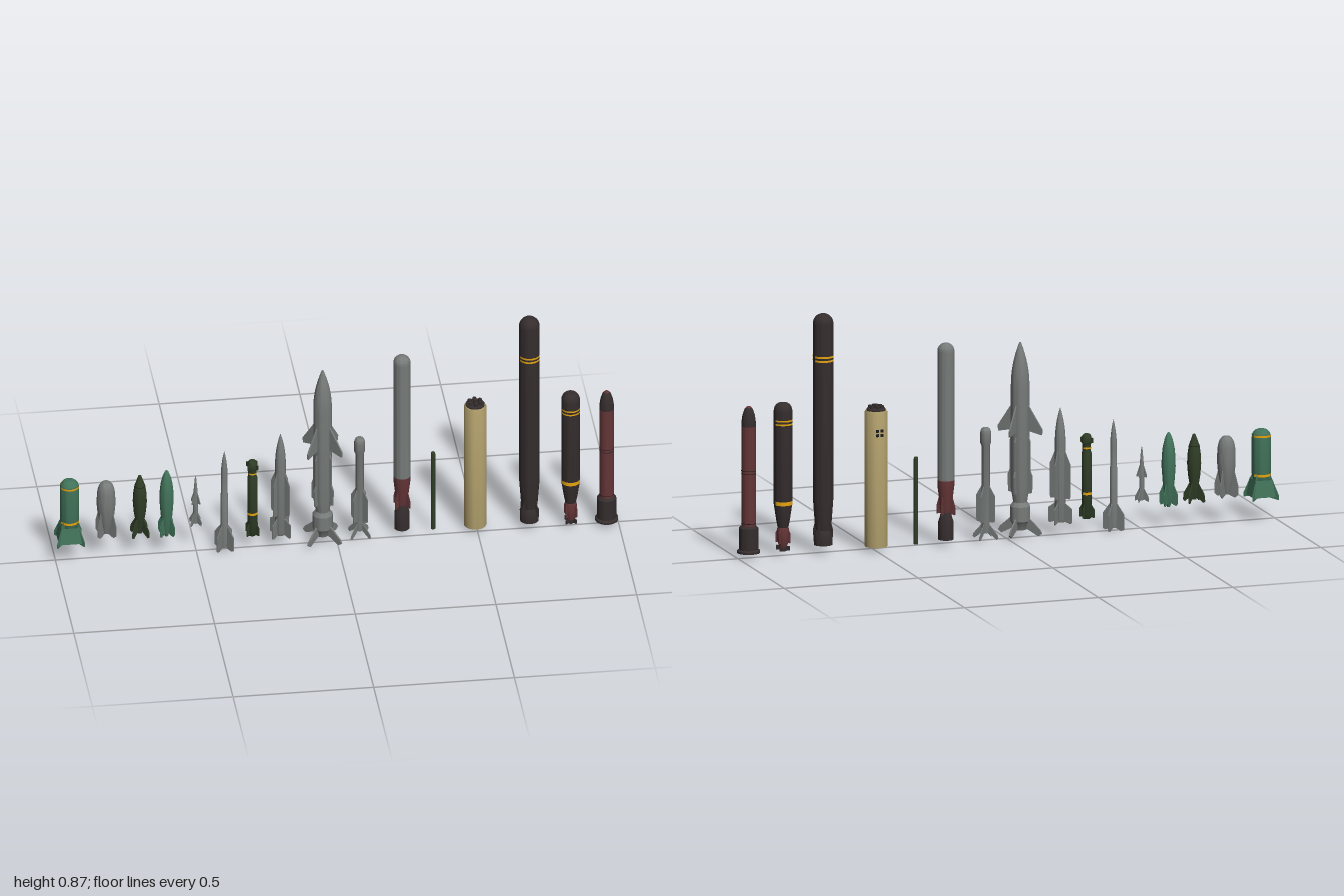
import * as THREE from 'three';
import { toCreasedNormals } from 'three/addons/utils/BufferGeometryUtils.js';

const mat = (name, color, side = THREE.FrontSide) => new THREE.MeshStandardMaterial({ name, color, side });
const M = {
  grey: mat('grey', 0x767b79), green: mat('green', 0x42735a), olive: mat('olive', 0x2f3d26),
  dark: mat('dark', 0x352d2e), red: mat('red', 0x643537), tan: mat('tan', 0xab9a68),
  yellow: mat('yellow', 0xe6a510, THREE.DoubleSide), black: mat('black', 0x1c1b1c),
};

function add(group, name, geo, material, y = 0) {
  const mesh = new THREE.Mesh(geo, material);
  mesh.name = name;
  mesh.position.y = y;
  group.add(mesh);
  return mesh;
}

// Rounded end from radius r at y0 up to the tip; power below 1 is blunt, 1 is a long ogive
function nose(r, y0, y1, tip = 0, ogive = false) {
  const pts = [];
  for (let i = 0; i <= 8; i++) {
    const t = i / 8;
    if (ogive) pts.push([tip + (r - tip) * (1 - t * t), y0 + (y1 - y0) * t]);
    else {
      const a = t * Math.PI / 2;
      pts.push([tip + (r - tip) * Math.cos(a), y0 + (y1 - y0) * Math.sin(a)]);
    }
  }
  if (tip) pts.push([0, y1]);
  return pts;
}

// Turned body; points are [radius, y] from bottom to top
function lathe(group, name, pts, material) {
  const v = pts.map(([r, y]) => new THREE.Vector2(Math.max(r, 0), y));
  return add(group, name, toCreasedNormals(new THREE.LatheGeometry(v, 28), 0.6), material);
}

// Four thin fins set in an X; outline points are [radius, y]
function fins(group, name, outline, material, t = 0.004) {
  const shape = new THREE.Shape(outline.map(([r, y]) => new THREE.Vector2(r, y)));
  const geo = new THREE.ExtrudeGeometry(shape, { depth: t, bevelEnabled: false }).translate(0, 0, -t / 2);
  for (let i = 0; i < 4; i++) add(group, name, geo, material).rotation.y = Math.PI / 4 + i * Math.PI / 2;
}

// Painted arcs on the front and the back of a body
function band(group, r, y, h, arc = 2.4) {
  for (const a of [0, Math.PI]) {
    const geo = new THREE.CylinderGeometry(r + 0.0008, r + 0.0008, h, 20, 1, true, a - arc / 2, arc);
    add(group, 'paintedBand', geo, M.yellow, y);
  }
}

function seam(group, r, y) {
  add(group, 'seam', new THREE.CylinderGeometry(r + 0.0005, r + 0.0005, 0.002, 28, 1, true), M.black, y);
}

export function createModel() {
  const root = new THREE.Group();
  root.name = 'ordnanceRow';
  const item = (name, x, z, build) => {
    const g = new THREE.Group();
    g.name = name;
    g.position.set(x, 0, z);
    build(g);
    root.add(g);
  };

  item('boxTailBomb', -0.95, 0, g => {
    lathe(g, 'body', [[0, 0.09], [0.014, 0.09], [0.032, 0.155], [0.034, 0.165], ...nose(0.034, 0.295, 0.325, 0.012)], M.green);
    fins(g, 'tailFin', [[0.01, 0.085], [0.068, 0.075], [0.068, 0.092], [0.034, 0.165], [0.02, 0.165]], M.green);
    const shroud = new THREE.CylinderGeometry(0.046, 0.06, 0.06, 4, 1, true).rotateY(Math.PI / 4).toNonIndexed();
    shroud.computeVertexNormals();
    add(g, 'tailShroud', shroud, new THREE.MeshStandardMaterial().copy(M.green), 0.115).material = greenOpen;
    band(g, 0.034, 0.162, 0.009);
    band(g, 0.034, 0.303, 0.007);
  });

  item('stubbyBomb', -0.82, 0, g => {
    lathe(g, 'body', [[0, 0.1], [0.012, 0.1], [0.022, 0.14], [0.03, 0.18], [0.033, 0.215], [0.033, 0.24], ...nose(0.032, 0.255, 0.31, 0.006)], M.grey);
    fins(g, 'tailFin', [[0.008, 0.1], [0.034, 0.09], [0.046, 0.1], [0.046, 0.135], [0.03, 0.19], [0.02, 0.19]], M.grey);
  });

  item('slimBomb', -0.7, 0, g => {
    lathe(g, 'body', [[0, 0.09], [0.008, 0.09], [0.014, 0.13], [0.022, 0.18], [0.025, 0.22], [0.024, 0.25], [0.019, 0.285], [0.01, 0.31], [0.005, 0.325], [0, 0.327]], M.olive);
    fins(g, 'tailFin', [[0.005, 0.105], [0.036, 0.08], [0.043, 0.085], [0.04, 0.11], [0.014, 0.155]], M.olive);
    seam(g, 0.0195, 0.284);
  });

  item('greenBomb', -0.605, 0, g => {
    lathe(g, 'body', [[0, 0.07], [0.006, 0.07], [0.014, 0.105], [0.021, 0.16], [0.025, 0.215], [0.0245, 0.25], [0.021, 0.285], [0.014, 0.315], [0.006, 0.335], [0, 0.34]], M.green);
    fins(g, 'tailFin', [[0.006, 0.085], [0.03, 0.075], [0.036, 0.085], [0.036, 0.115], [0.016, 0.16]], M.green);
  });

  item('smallDart', -0.5, -0.015, g => {
    lathe(g, 'body', [[0, 0.105], [0.007, 0.105], [0.009, 0.17], [0.009, 0.21], [0.006, 0.25], [0.003, 0.285], [0, 0.302]], M.grey);
    fins(g, 'midFin', [[0.005, 0.19], [0.02, 0.188], [0.02, 0.195], [0.006, 0.235]], M.grey, 0.003);
    fins(g, 'tailFin', [[0.005, 0.11], [0.026, 0.1], [0.027, 0.115], [0.008, 0.15]], M.grey, 0.003);
  });

  item('finnedRocket', -0.4, 0, g => {
    lathe(g, 'body', [[0, 0.01], [0.012, 0.01], [0.0135, 0.03], [0.0135, 0.225], [0.012, 0.23], ...nose(0.012, 0.3, 0.402, 0, true)], M.grey);
    fins(g, 'tailFin', [[0.008, 0.01], [0.03, 0], [0.041, 0.004], [0.041, 0.06], [0.012, 0.1]], M.grey);
  });

  item('guidedRocket', -0.3, 0, g => {
    lathe(g, 'body', [[0, 0.05], [0.013, 0.05], [0.018, 0.06], [0.018, 0.285], [0.015, 0.295], [0.015, 0.32], [0.018, 0.325], ...nose(0.018, 0.335, 0.356, 0.008)], M.olive);
    fins(g, 'canard', [[0.01, 0.32], [0.026, 0.325], [0.026, 0.342], [0.01, 0.345]], M.olive);
    fins(g, 'tailFin', [[0.01, 0.055], [0.03, 0.055], [0.03, 0.085], [0.015, 0.105]], M.olive);
    band(g, 0.018, 0.142, 0.009);
    band(g, 0.015, 0.306, 0.006);
  });

  item('strakeMissile', -0.2, 0, g => {
    lathe(g, 'body', [[0, 0.045], [0.016, 0.045], [0.019, 0.055], [0.019, 0.33], ...nose(0.019, 0.335, 0.46, 0, true)], M.grey);
    fins(g, 'strake', [[0.012, 0.13], [0.038, 0.13], [0.04, 0.14], [0.04, 0.255], [0.018, 0.305]], M.grey);
    fins(g, 'tailFin', [[0.012, 0.05], [0.04, 0.04], [0.046, 0.045], [0.046, 0.095], [0.018, 0.115]], M.grey);
  });

  item('boostedMissile', -0.05, -0.003, g => {
    lathe(g, 'body', [[0.024, 0.12], [0.026, 0.14], [0.033, 0.18], [0.033, 0.54], ...nose(0.033, 0.55, 0.705, 0.003, true)], M.grey);
    lathe(g, 'booster', [[0, 0.03], [0.022, 0.03], [0.03, 0.055], [0.036, 0.062], [0.036, 0.115], [0.025, 0.13]], M.grey);
    fins(g, 'wing', [[0.025, 0.39], [0.085, 0.378], [0.087, 0.398], [0.033, 0.48], [0.025, 0.48]], M.grey, 0.006);
    fins(g, 'strake', [[0.025, 0.16], [0.046, 0.165], [0.048, 0.225], [0.04, 0.245], [0.04, 0.35], [0.025, 0.385]], M.grey, 0.006);
    fins(g, 'boosterFin', [[0.02, 0.038], [0.072, 0.012], [0.086, 0.022], [0.078, 0.036], [0.033, 0.075]], M.grey, 0.006);
  });

  item('slimMissile', 0.083, -0.016, g => {
    lathe(g, 'body', [[0, 0.03], [0.012, 0.03], [0.015, 0.07], [0.015, 0.345], [0.019, 0.355], [0.019, 0.385], ...nose(0.019, 0.39, 0.41, 0.008)], M.grey);
    fins(g, 'strake', [[0.01, 0.07], [0.034, 0.07], [0.036, 0.08], [0.036, 0.165], [0.015, 0.2]], M.grey);
    fins(g, 'tailFin', [[0.008, 0.035], [0.044, 0.008], [0.05, 0.014], [0.047, 0.025], [0.014, 0.062]], M.grey, 0.003);
  });

  item('rocketTorpedo', 0.235, -0.028, g => {
    lathe(g, 'forebody', [[0.03, 0.235], [0.03, 0.7], ...nose(0.03, 0.702, 0.73)], M.grey);
    lathe(g, 'tailSection', [[0.015, 0.1], [0.02, 0.13], [0.024, 0.165], [0.03, 0.215], [0.03, 0.235]], M.red);
    fins(g, 'tailFin', [[0.012, 0.115], [0.036, 0.11], [0.036, 0.14], [0.024, 0.18]], M.red);
    lathe(g, 'booster', [[0, 0.035], [0.022, 0.035], [0.027, 0.02], [0.027, 0.085], [0.022, 0.1], [0.018, 0.12], [0, 0.12]], M.dark);
  });

  item('thinRocket', 0.345, -0.024, g => {
    lathe(g, 'body', [[0, 0.01], [0.008, 0.01], [0.008, 0.315], ...nose(0.008, 0.317, 0.325, 0.004)], M.olive);
  });

  item('launchCanister', 0.495, -0.027, g => {
    lathe(g, 'tube', [[0.034, 0.04], [0.034, 0.015], [0.04, 0.015], [0.04, 0.5], [0.037, 0.506], [0, 0.506]], M.tan);
    lathe(g, 'baseHole', [[0, 0.03], [0.034, 0.03]], M.black);
    lathe(g, 'capPlate', [[0.034, 0.505], [0.034, 0.511], [0.03, 0.514], [0, 0.514]], M.dark);
    // Ring of studs on the lid
    for (let i = 0; i < 6; i++) {
      const a = i * Math.PI / 3;
      const stud = add(g, 'lidStud', new THREE.CylinderGeometry(0.007, 0.007, 0.01, 10), M.dark, 0.518);
      stud.position.x = Math.sin(a) * 0.021;
      stud.position.z = Math.cos(a) * 0.021;
    }
    add(g, 'lidHub', new THREE.CylinderGeometry(0.008, 0.008, 0.014, 12), M.dark, 0.52);
    for (const dx of [-0.008, 0.008]) for (const dy of [-0.008, 0.008])
      add(g, 'rearFitting', new THREE.BoxGeometry(0.01, 0.01, 0.006), M.black, 0.43 + dy).position.set(dx, 0.43 + dy, -0.04);
  });

  item('heavyTorpedo', 0.685, -0.007, g => {
    lathe(g, 'body', [[0.026, 0.08], [0.03, 0.11], [0.0365, 0.2], [0.0365, 0.825], ...nose(0.0365, 0.828, 0.865)], M.dark);
    lathe(g, 'propulsor', [[0, 0.05], [0.024, 0.05], [0.027, 0.03], [0.033, 0.03], [0.034, 0.07], [0.026, 0.085]], M.dark);
    fins(g, 'tailFin', [[0.02, 0.06], [0.038, 0.06], [0.038, 0.085], [0.029, 0.12]], M.dark);
    for (const y of [0.697, 0.711]) band(g, 0.0365, y, 0.007);
  });

  item('lightTorpedo', 0.83, 0.006, g => {
    lathe(g, 'body', [[0.019, 0.1], [0.024, 0.125], [0.033, 0.185], [0.033, 0.515], ...nose(0.033, 0.52, 0.55, 0.01)], M.dark);
    lathe(g, 'tailSection', [[0, 0.03], [0.014, 0.03], [0.022, 0.06], [0.022, 0.09], [0.019, 0.102]], M.red);
    fins(g, 'tailFin', [[0.01, 0.045], [0.028, 0.045], [0.028, 0.08], [0.018, 0.1]], M.red);
    lathe(g, 'hub', [[0, 0.015], [0.012, 0.015], [0.012, 0.035]], M.dark);
    fins(g, 'propellerBlade', [[0.008, 0.018], [0.026, 0.018], [0.026, 0.034], [0.008, 0.034]], M.dark);
    for (const y of [0.475, 0.488]) band(g, 0.033, y, 0.006);
    band(g, 0.033, 0.19, 0.014);
  });

  item('underwaterRocket', 0.958, 0.006, g => {
    lathe(g, 'body', [[0.026, 0.115], [0.026, 0.475]], M.red);
    lathe(g, 'noseCone', [[0.026, 0.475], [0.0255, 0.49], [0.022, 0.515], [0.015, 0.536], [0.01, 0.542]], M.dark);
    lathe(g, 'noseTip', [[0.01, 0.542], [0.006, 0.546], [0, 0.547]], M.red);
    lathe(g, 'base', [[0, 0.04], [0.028, 0.04], [0.033, 0.018], [0.041, 0.018], [0.041, 0.026], [0.034, 0.03], [0.034, 0.108], [0.026, 0.116]], M.dark);
    for (const y of [0.125, 0.305, 0.315]) seam(g, 0.026, y);
  });

  return root;
}

// Two-sided paint for the open tail shroud
const greenOpen = mat('greenOpen', 0x42735a, THREE.DoubleSide);
